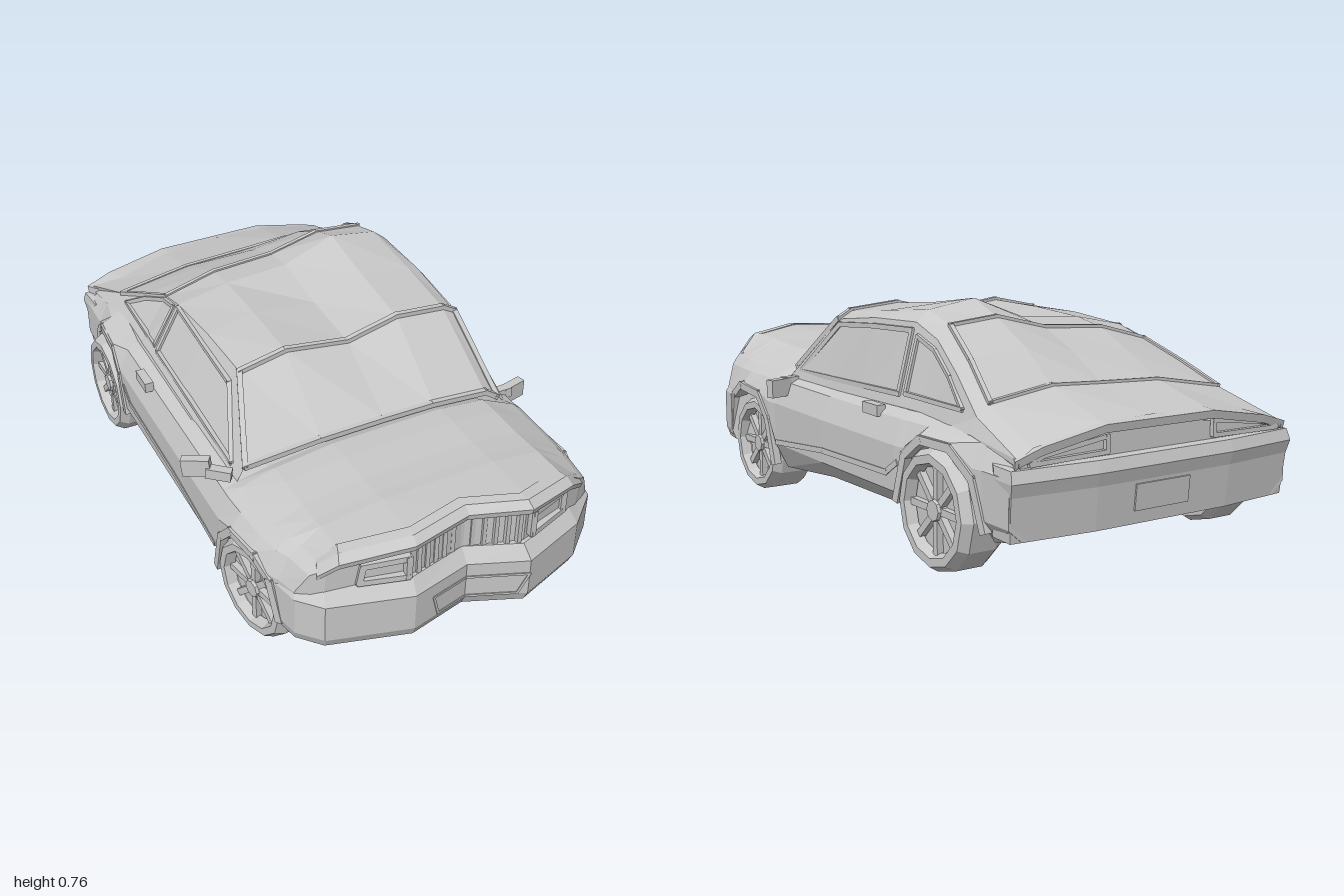
import * as THREE from 'three';

const paint = new THREE.MeshStandardMaterial({ color: 0xc8c8c8, flatShading: true, side: THREE.DoubleSide });
paint.name = 'light grey';

// Outlines seen from above: [x, z]
const nose = [[-0.505, 0.75], [-0.485, 0.84], [-0.42, 0.91], [-0.16, 0.98], [0.04, 0.93],
  [0.22, 1.0], [0.44, 0.92], [0.55, 0.82], [0.56, 0.75]];
const tail = [[0.525, -0.88], [0.53, -0.97], [0.25, -0.995], [-0.25, -0.995], [-0.51, -0.97], [-0.505, -0.88]];

// Piecewise-linear lookup in rows sorted by their first number
function interp(rows, v, col = 1) {
  if (v <= rows[0][0]) return rows[0][col];
  for (let i = 1; i < rows.length; i++) {
    const a = rows[i - 1], b = rows[i];
    if (v <= b[0]) return a[col] + (b[col] - a[col]) * (v - a[0]) / (b[0] - a[0]);
  }
  return rows[rows.length - 1][col];
}
const noseZ = (x) => interp(nose, x);

// Skin between successive rings of [x, y, z]; closed rings get end caps
function loft(name, rings, closed = true) {
  const out = [], n = rings[0].length;
  const quad = (a, b, c, d) => out.push(...a, ...b, ...c, ...a, ...c, ...d);
  for (let k = 0; k + 1 < rings.length; k++) {
    const A = rings[k], B = rings[k + 1];
    for (let i = 0; i < (closed ? n : n - 1); i++) {
      const j = (i + 1) % n;
      quad(A[i], B[i], B[j], A[j]);
    }
  }
  if (closed) {
    const F = rings[0], E = rings[rings.length - 1];
    for (let i = 0; i < n / 2 - 1; i++) {
      quad(F[i], F[i + 1], F[n - 2 - i], F[n - 1 - i]);
      quad(E[i], E[n - 1 - i], E[n - 2 - i], E[i + 1]);
    }
  }
  const g = new THREE.BufferGeometry();
  g.setAttribute('position', new THREE.Float32BufferAttribute(out, 3));
  g.computeVertexNormals();
  return named(name, new THREE.Mesh(g, paint));
}

function named(name, object) {
  object.name = name;
  return object;
}

function box(name, size, pos, rot = [0, 0, 0]) {
  const m = named(name, new THREE.Mesh(new THREE.BoxGeometry(...size), paint));
  m.position.set(...pos);
  m.rotation.set(...rot);
  return m;
}

// Trim made of square bars along a polyline
function trim(name, points, w, closed = false) {
  const g = named(name, new THREE.Group());
  const p = points.map((q) => new THREE.Vector3(...q));
  if (closed) p.push(p[0]);
  for (let i = 0; i + 1 < p.length; i++) {
    const bar = box(name + 'Bar', [w, w, p[i].distanceTo(p[i + 1]) + w * 0.6], [0, 0, 0]);
    bar.position.lerpVectors(p[i], p[i + 1], 0.5);
    bar.lookAt(p[i + 1]);
    g.add(bar);
  }
  return g;
}

// Lower body rows: z, floor y, arch y, right half width, left half width, shoulder y, top y
const bodyRows = [
  [0.95, 0.16, 0.16, 0.48, 0.54, 0.45, 0.538], [0.76, 0.15, 0.15, 0.50, 0.55, 0.455, 0.535],
  [0.72, 0.14, 0.31, 0.52, 0.555, 0.455, 0.53], [0.64, 0.14, 0.36, 0.535, 0.56, 0.45, 0.525],
  [0.52, 0.14, 0.355, 0.545, 0.56, 0.45, 0.525], [0.44, 0.13, 0.28, 0.55, 0.56, 0.45, 0.52],
  [0.40, 0.12, 0.12, 0.55, 0.555, 0.44, 0.50], [0.05, 0.155, 0.155, 0.55, 0.56, 0.44, 0.46],
  [-0.41, 0.16, 0.16, 0.55, 0.56, 0.45, 0.46], [-0.45, 0.15, 0.32, 0.55, 0.555, 0.45, 0.46],
  [-0.54, 0.15, 0.385, 0.54, 0.55, 0.45, 0.46], [-0.68, 0.14, 0.385, 0.53, 0.54, 0.45, 0.465],
  [-0.78, 0.14, 0.31, 0.51, 0.53, 0.435, 0.465], [-0.82, 0.14, 0.14, 0.51, 0.525, 0.425, 0.46],
  [-0.95, 0.17, 0.17, 0.505, 0.525, 0.39, 0.445]];
const bodySorted = [...bodyRows].reverse();
const bodyX = (side, z) => side * interp(bodySorted, z, side > 0 ? 4 : 3);

function bodyRing([z, floor, arch, r, l, sh, top]) {
  const low = Math.max(0.21, arch + 0.015), mid = Math.max(0.35, arch + 0.02), belt = Math.min(0.425, sh - 0.015);
  const ring = [[-r, low], [0.045 - r, arch], [-0.42, arch], [-0.42, floor], [-0.16, floor], [0.04, floor],
    [0.22, floor], [0.42, floor], [0.42, arch], [l - 0.045, arch], [l, low],
    [l, mid], [l - 0.03, belt], [l - 0.06, sh], [0.38, top - 0.015], [0.22, top], [0.04, top - 0.003],
    [-0.16, top - 0.008], [-0.36, top - 0.035], [0.075 - r, sh], [0.035 - r, belt], [-r, mid]];
  return ring.map(([x, y]) => [x, y, z > 0.76 ? 0.76 + (z - 0.76) / 0.24 * (noseZ(x) - 0.76) : z]);
}

// Cabin rows: z, left edge x, heights from left roof edge to right roof edge, right edge x
const cabinRows = [
  [0.40, 0.46, 0.47, 0.50, 0.515, 0.515, 0.51, 0.49, -0.44],
  [0.14, 0.44, 0.66, 0.685, 0.70, 0.655, 0.685, 0.65, -0.34],
  [-0.10, 0.44, 0.69, 0.71, 0.725, 0.665, 0.685, 0.655, -0.35],
  [-0.33, 0.43, 0.70, 0.735, 0.76, 0.69, 0.675, 0.637, -0.36],
  [-0.45, 0.43, 0.66, 0.70, 0.715, 0.67, 0.655, 0.605, -0.36],
  [-0.60, 0.46, 0.58, 0.62, 0.64, 0.61, 0.59, 0.54, -0.40],
  [-0.73, 0.48, 0.48, 0.515, 0.545, 0.535, 0.525, 0.48, -0.43],
  [-0.96, 0.50, 0.40, 0.43, 0.475, 0.478, 0.47, 0.40, -0.48]];
function cabinRing([z, xl, y0, y1, y2, y3, y4, y5, xr]) {
  const foot = Math.min(0.43, y0 - 0.02);
  return [[0.50, foot, z], [xl, y0, z], [xl - 0.045, y1, z], [0.22, y2, z], [0.04, y3, z],
    [-0.18, y4, z], [xr, y5, z], [-0.475, foot, z]];
}
const cabinSorted = [...cabinRows].reverse();

// Point on the cabin's side wall at a given z and y
function wall(side, z, y) {
  const edgeX = interp(cabinSorted, z, side > 0 ? 1 : 8), edgeY = interp(cabinSorted, z, side > 0 ? 2 : 7);
  const foot = side > 0 ? 0.50 : -0.475;
  return [foot + (edgeX - foot) * (y - 0.43) / (edgeY - 0.43), y, z];
}

// Section [inset, y] swept round the nose or tail; a path point may carry a height offset
const wrap = (name, path, section) => loft(name, path.map(([x, z, dy = 0]) =>
  section.map(([t, y]) => [x * (1 - t), y + dy, z - t * Math.sign(z)])));

function wheel(name, x, y, z, r, turn) {
  const g = named(name, new THREE.Group());
  const w = 0.075, rim = r * 0.76;
  const tyre = [[rim * 0.95, -w], [r * 0.9, -w], [r, -w * 0.6], [r, w * 0.6], [r * 0.9, w], [rim, w], [rim * 0.92, w * 0.55]];
  const add = (n, geo, px) => {
    const m = named(n, new THREE.Mesh(geo, paint));
    m.rotation.z = -Math.PI / 2;
    m.position.x = px;
    g.add(m);
  };
  add('tyre', new THREE.LatheGeometry(tyre.map((p) => new THREE.Vector2(...p)), 12), 0);
  add('rimDish', new THREE.CylinderGeometry(rim, rim, 0.04, 12), 0.015);
  add('hub', new THREE.CylinderGeometry(r * 0.17, r * 0.22, 0.04, 8), 0.045);
  for (let i = 0; i < 8; i++) {
    const a = i * Math.PI / 4;
    g.add(box('spoke', [0.025, rim * 0.95, 0.022],
      [0.043, Math.cos(a) * rim * 0.5, Math.sin(a) * rim * 0.5], [a, 0, 0]));
  }
  g.position.set(x, y, z);
  g.rotation.y = turn + (x < 0 ? Math.PI : 0);
  return g;
}

export function createModel() {
  const car = named('car', new THREE.Group());
  car.add(loft('body', bodyRows.map(bodyRing)));
  const cabin = cabinRows.map(cabinRing);
  car.add(loft('cabin', cabin, false));

  // Windscreen and rear window surrounds
  car.add(trim('windscreenFrame', [...cabin[0].slice(1, 7), ...cabin[1].slice(1, 7).reverse()], 0.018, true));
  const rearTop = cabin[4].slice(2, 7), rearBase = cabin[6].slice(2, 7).reverse();
  car.add(trim('rearWindowFrame', [...rearTop, cabin[5][6], ...rearBase, cabin[5][2]], 0.014, true));

  // Side windows, arches, sills and handles
  for (const s of [1, -1]) {
    const squash = s > 0 ? 1 : 0.8;
    const onWall = (pts) => pts.map(([z, y]) => wall(s, z, 0.45 + (y - 0.45) * squash));
    const onBody = (pts) => pts.map(([z, y]) => [bodyX(s, z) - s * 0.006, y, z]);
    car.add(trim('doorWindowFrame', onWall([[0.33, 0.465], [0.12, 0.645], [-0.1, 0.665], [-0.32, 0.675], [-0.32, 0.485]]), 0.016, true));
    car.add(trim('quarterWindowFrame', onWall([[-0.355, 0.66], [-0.45, 0.63], [-0.56, 0.57], [-0.66, 0.49], [-0.355, 0.49]]), 0.014, true));
    car.add(trim('frontArch', onBody([[0.76, 0.19], [0.73, 0.33], [0.66, 0.375], [0.52, 0.365], [0.45, 0.29], [0.41, 0.14]]), 0.026));
    car.add(trim('rearArch', onBody([[-0.42, 0.19], [-0.46, 0.33], [-0.54, 0.39], [-0.68, 0.39], [-0.78, 0.32], [-0.83, 0.18]]), 0.026));
    car.add(trim('sillStrip', onBody([[0.39, 0.215], [0.05, 0.25], [-0.36, 0.26], [-0.42, 0.30]]), 0.018));
    car.add(box('doorHandle', [0.03, 0.035, 0.09], [s * 0.53, 0.432, -0.24]));
  }

  // Front bumper and bonnet lip follow the nose
  car.add(wrap('frontBumper', nose, [[0.1, 0.155], [0.015, 0.165], [0, 0.2], [0, 0.33], [0.035, 0.375], [0.1, 0.375]]));
  const lipPath = [[-0.43, 0.875, -0.08], [-0.38, 0.915, -0.025], [-0.16, 0.965, 0], [0.04, 0.92, 0.004],
    [0.22, 0.985, 0.008], [0.40, 0.925, -0.01], [0.48, 0.87, -0.07]];
  car.add(wrap('bonnetLip', lipPath, [[0.06, 0.49], [0.005, 0.49], [0, 0.51], [0.025, 0.532], [0.06, 0.534], [0.06, 0.515]]));

  // Headlights, grille and number plate
  const onNose = (pts, inset) => pts.map(([x, y]) => [x, y, noseZ(x) - inset]);
  car.add(trim('rightHeadlight', onNose([[-0.31, 0.385], [-0.17, 0.385], [-0.17, 0.455], [-0.30, 0.445]], 0.035), 0.02, true));
  car.add(trim('leftHeadlight', onNose([[0.24, 0.40], [0.38, 0.40], [0.38, 0.475], [0.24, 0.48]], 0.035), 0.02, true));
  for (let i = 0; i < 11; i++) {
    const x = -0.13 + i * 0.033;
    car.add(box('grilleSlat', [0.014, 0.11, 0.02], [x, 0.43, noseZ(x) - 0.045]));
  }
  car.add(trim('frontPlate', onNose([[-0.09, 0.28], [0.04, 0.28], [0.22, 0.28], [0.19, 0.205], [0.04, 0.205], [-0.07, 0.205]], 0.001), 0.008, true));

  // Tail: bumper, crowned lip, lamps and plate
  car.add(wrap('rearBumper', tail, [[0.1, 0.165], [0.025, 0.17], [0.012, 0.30], [0, 0.34], [0.012, 0.375], [0.1, 0.38]]));
  const tailLip = [[0.515, -0.965, -0.075], [0.43, -0.978, -0.042], [0.22, -0.99, -0.002], [-0.18, -0.99, -0.005],
    [-0.40, -0.978, -0.045], [-0.495, -0.965, -0.075]];
  car.add(wrap('tailLip', tailLip, [[0.08, 0.445], [0.01, 0.45], [0.005, 0.475], [0.08, 0.486]]));
  for (const s of [1, -1]) {
    car.add(trim('tailLamp', [[s * 0.2, 0.39, -0.96], [s * 0.46, 0.385, -0.955], [s * 0.42, 0.405, -0.955], [s * 0.2, 0.435, -0.96]], 0.014, true));
  }
  car.add(box('rearPlate', [0.2, 0.08, 0.01], [0.01, 0.25, -0.978], [-0.09, 0, 0]));

  // Door mirrors
  car.add(box('leftMirror', [0.09, 0.06, 0.03], [0.565, 0.415, 0.335], [0, 0.25, 0]));
  car.add(box('leftMirrorArm', [0.06, 0.035, 0.03], [0.52, 0.43, 0.345]));
  car.add(box('rightMirror', [0.09, 0.06, 0.03], [-0.57, 0.485, 0.325], [0, -0.6, 0.1]));
  car.add(box('rightMirrorArm', [0.08, 0.035, 0.03], [-0.515, 0.47, 0.37], [0, -0.6, -0.1]));

  // Wheels, the right front one steered a little
  car.add(wheel('leftFrontWheel', 0.475, 0.177, 0.575, 0.168, 0));
  car.add(wheel('rightFrontWheel', -0.45, 0.172, 0.575, 0.172, 0.2));
  car.add(wheel('leftRearWheel', 0.488, 0.195, -0.61, 0.185, 0));
  car.add(wheel('rightRearWheel', -0.488, 0.195, -0.61, 0.18, 0));
  return car;
}
